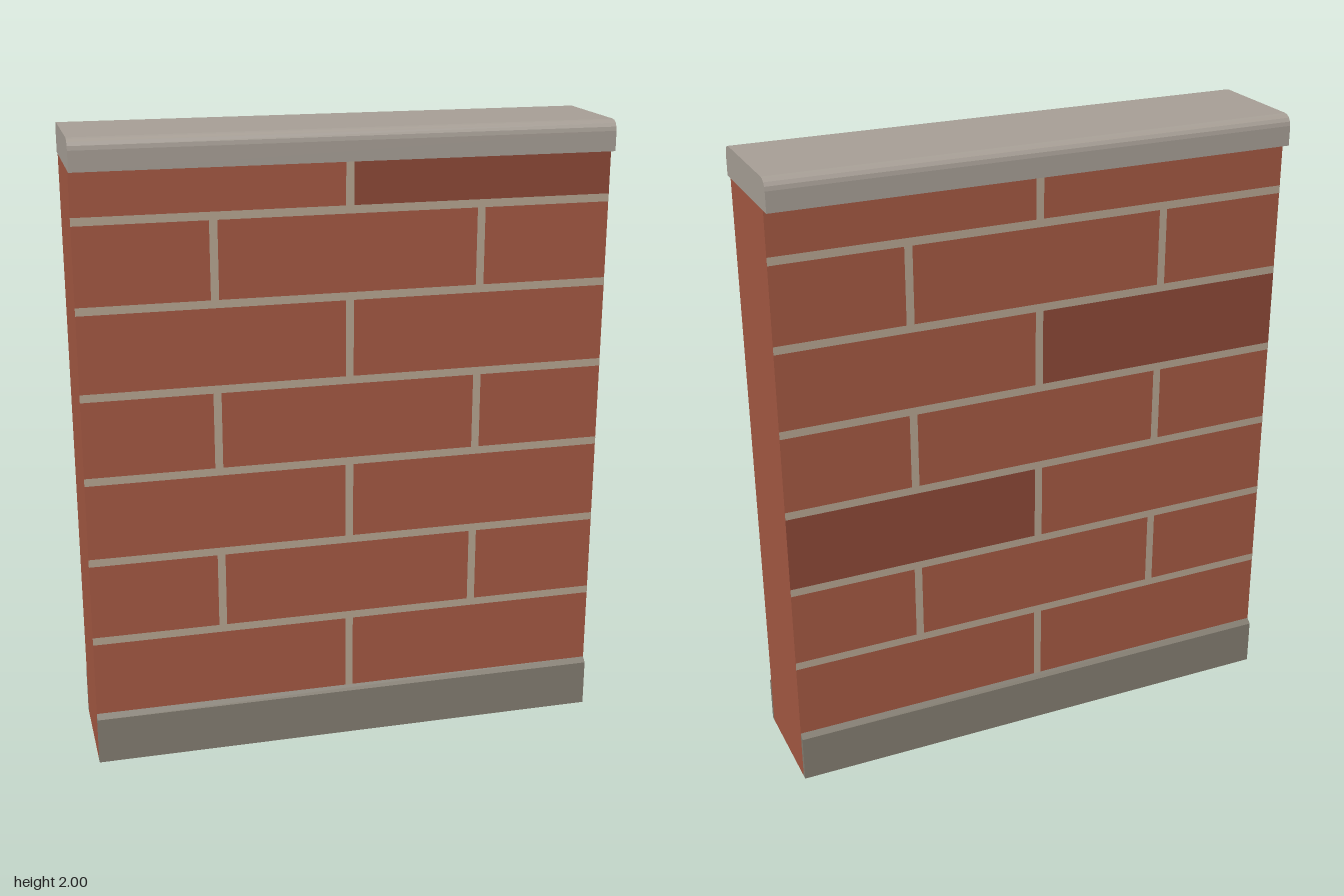
import * as THREE from 'three';

const W = 1.667;          // wall width
const D = 0.167;          // half depth of the brickwork
const BASE = 0.167;       // height of the plinth
const TOP = 1.905;        // underside of the coping
const PITCH = 0.267;      // course height
const JOINT = 0.025;      // mortar thickness

const paint = (color) => new THREE.MeshStandardMaterial({ color, flatShading: true });
const brick = paint(0xa35842);
const darkBrick = paint(0x8c4837);
const mortar = paint(0xb5a490);
const copingStone = paint(0xa69e95);
const plinthStone = paint(0x827c70);

function add(parent, name, geometry, material) {
  const mesh = new THREE.Mesh(geometry, material);
  mesh.name = name;
  parent.add(mesh);
  return mesh;
}

// Extrude a (z, y) profile along the whole width of the wall
function extrudeAlongX(shape) {
  const g = new THREE.ExtrudeGeometry(shape, { depth: W, bevelEnabled: false, curveSegments: 2 });
  return g.translate(0, 0, -W / 2).rotateY(-Math.PI / 2);
}

// Flat patch lying just proud of the brickwork
function patch(parent, name, x0, x1, y0, y1, material, lift) {
  const mesh = add(parent, name, new THREE.PlaneGeometry(x1 - x0, y1 - y0), material);
  mesh.position.set((x0 + x1) / 2, (y0 + y1) / 2, D + lift);
}

// One face of the wall; dark lists [course, side] of the darker bricks
function brickFace(name, dark) {
  const face = new THREE.Group();
  face.name = name;
  const courseBottom = (i) => (i === 0 ? BASE : 0.155 + i * PITCH);
  for (let i = 0; i < 7; i++) {
    const y0 = courseBottom(i);
    const y1 = Math.min(courseBottom(i + 1), TOP);
    if (i > 0) patch(face, 'bedJoint', -W / 2, W / 2, y0 - JOINT / 2, y0 + JOINT / 2, mortar, 0.001);
    for (const x of i % 2 ? [-W / 4, W / 4] : [0]) {
      patch(face, 'headJoint', x - JOINT / 2, x + JOINT / 2, y0, y1, mortar, 0.001);
    }
    for (const [course, side] of dark) {
      if (course === i) patch(face, 'darkBrick', Math.min(0, side * W / 2), Math.max(0, side * W / 2), y0, y1, darkBrick, 0.0005);
    }
  }
  return face;
}

export function createModel() {
  const wall = new THREE.Group();
  wall.name = 'brickWall';

  // Solid brick body
  add(wall, 'brickBody', new THREE.BoxGeometry(W, TOP, 2 * D), brick).position.y = TOP / 2;

  // Mortar joints and odd bricks on both faces
  wall.add(brickFace('frontFace', [[6, 1]]));
  const back = brickFace('backFace', [[4, 1], [2, -1]]);
  back.rotation.y = Math.PI;
  wall.add(back);

  // Chamfered plinth along front and back
  const plinth = new THREE.Shape([
    [D, 0], [0.183, 0], [0.183, 0.152], [D, BASE],
  ].map(([z, y]) => new THREE.Vector2(z, y)));
  for (const [name, turn] of [['backPlinth', 0], ['frontPlinth', Math.PI]]) {
    add(wall, name, extrudeAlongX(plinth), plinthStone).rotation.y = turn + Math.PI;
  }

  // Coping slab with rounded upper edges
  const r = 0.033, h = 0.2;
  const coping = new THREE.Shape();
  coping.moveTo(-h, TOP);
  coping.lineTo(h, TOP);
  coping.lineTo(h, 2 - r);
  coping.absarc(h - r, 2 - r, r, 0, Math.PI / 2, false);
  coping.lineTo(-h + r, 2);
  coping.absarc(-h + r, 2 - r, r, Math.PI / 2, Math.PI, false);
  coping.lineTo(-h, TOP);
  add(wall, 'coping', extrudeAlongX(coping), copingStone);

  return wall;
}
